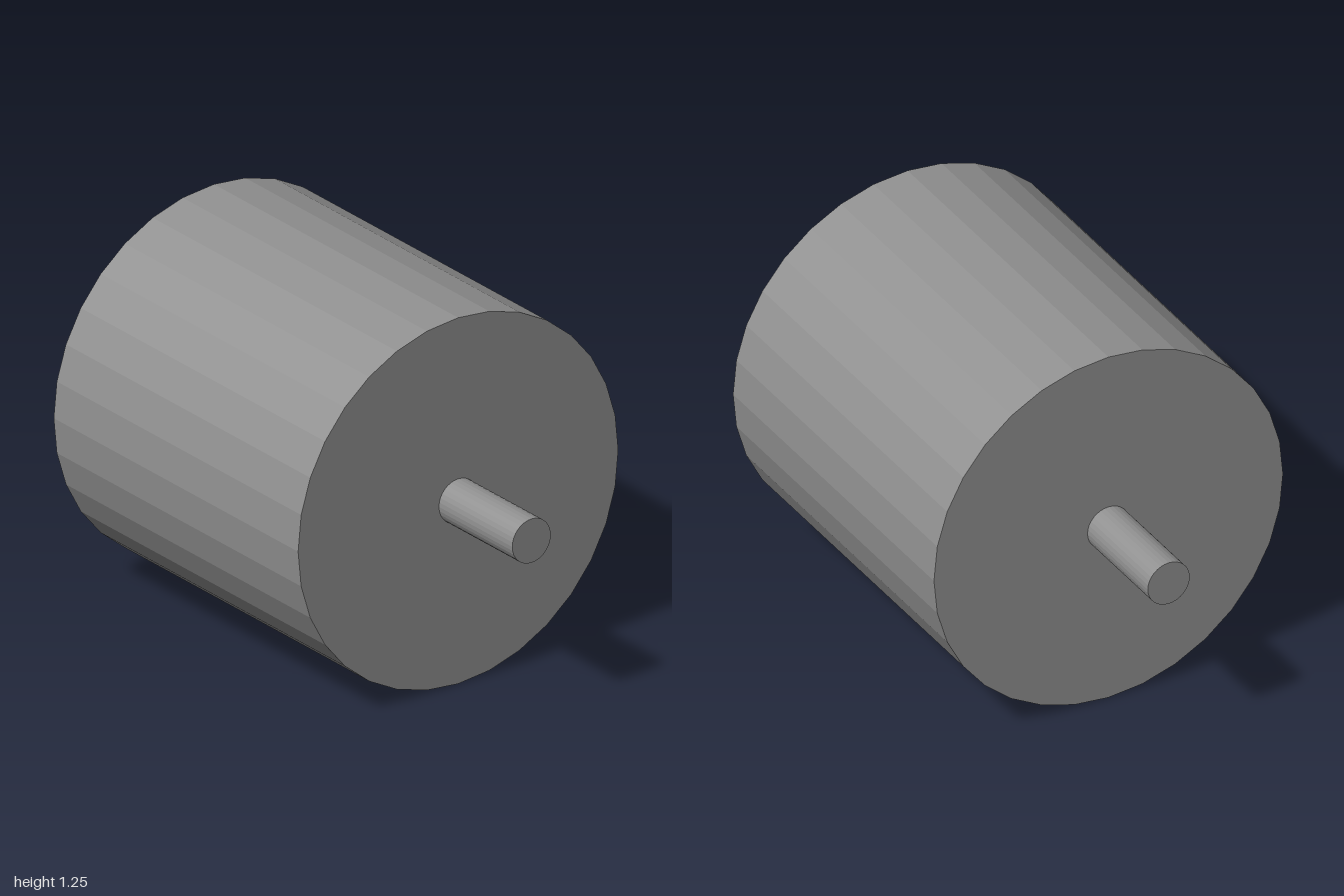
import * as THREE from 'three';

export function createModel() {
  const model = new THREE.Group();
  model.name = 'roller';

  const grey = new THREE.MeshStandardMaterial({ color: 0x909090, flatShading: true });
  grey.name = 'grey';

  // Cylinder lying along z at the roller's centre height
  const addCylinder = (name, radius, length) => {
    const geometry = new THREE.CylinderGeometry(radius, radius, length, 32);
    geometry.rotateX(Math.PI / 2);
    const mesh = new THREE.Mesh(geometry, grey);
    mesh.name = name;
    mesh.position.y = 0.625;
    model.add(mesh);
  };

  addCylinder('drum', 0.625, 1.25);
  // Axle runs through the drum and sticks out at both ends
  addCylinder('axle', 0.075, 2);

  return model;
}
